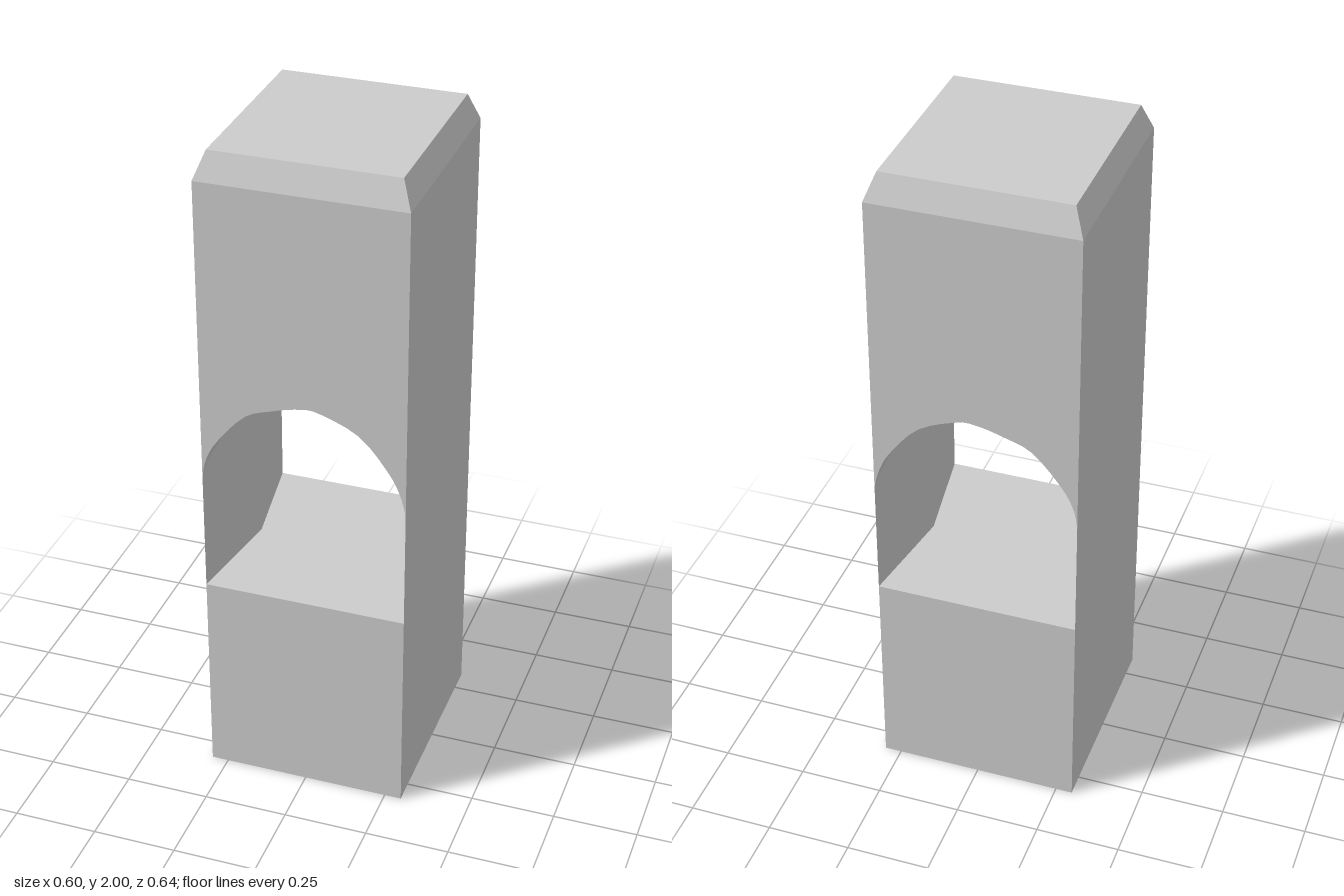
import * as THREE from 'three';

const W = 0.3, D = 0.32;            // half width and half depth
const SILL = 0.64, SPRING = 1.0, SHOULDER = 1.92, TOP = 2;

export function createModel() {
  const group = new THREE.Group();
  const material = new THREE.MeshStandardMaterial({ color: 0xcccccc });
  const add = (name, geometry) => {
    const mesh = new THREE.Mesh(geometry, material);
    mesh.name = name;
    group.add(mesh);
    return mesh;
  };

  // Solid base below the opening
  add('base', new THREE.BoxGeometry(2 * W, SILL, 2 * D).translate(0, SILL / 2, 0));

  // Upper block, its underside cut by a slightly uneven arch running front to back
  const arch = [
    [-W, SPRING], [-0.29, 1.06], [-0.255, 1.13], [-0.17, 1.228], [-0.09, 1.262],
    [-0.01, 1.283], [0.05, 1.281], [0.165, 1.23], [0.25, 1.13], [0.285, 1.06], [W, SPRING],
  ].map(([x, y]) => new THREE.Vector2(x, y));
  const block = new THREE.Shape();
  block.moveTo(-W, SHOULDER);
  block.lineTo(-W, SPRING);
  block.splineThru(arch.slice(1));
  block.lineTo(W, SHOULDER);
  block.closePath();
  add('archedBlock', new THREE.ExtrudeGeometry(block, {
    depth: 2 * D, bevelEnabled: false, curveSegments: 3,
  }).translate(0, 0, -D));

  // Side walls of the opening: wedges thickest at mid depth, tapering to both faces
  for (const side of [-1, 1]) {
    const wedge = new THREE.Shape([
      new THREE.Vector2(side * W, -D),
      new THREE.Vector2(side * W, D),
      new THREE.Vector2(side * 0.25, 0),
    ]);
    const geometry = new THREE.ExtrudeGeometry(wedge, { depth: 1.14 - SILL, bevelEnabled: false });
    add(side > 0 ? 'leftWall' : 'rightWall', geometry.rotateX(-Math.PI / 2).translate(0, SILL, 0));
  }

  // Chamfered cap: a box with its top face drawn in
  const cap = new THREE.BoxGeometry(2 * W, TOP - SHOULDER, 2 * D);
  const p = cap.attributes.position;
  for (let i = 0; i < p.count; i++) {
    if (p.getY(i) > 0) {
      p.setX(i, Math.sign(p.getX(i)) * 0.27);
      p.setZ(i, Math.sign(p.getZ(i)) * 0.288);
    }
  }
  cap.computeVertexNormals();
  add('chamferedCap', cap.translate(0, (TOP + SHOULDER) / 2, 0));

  return group;
}
